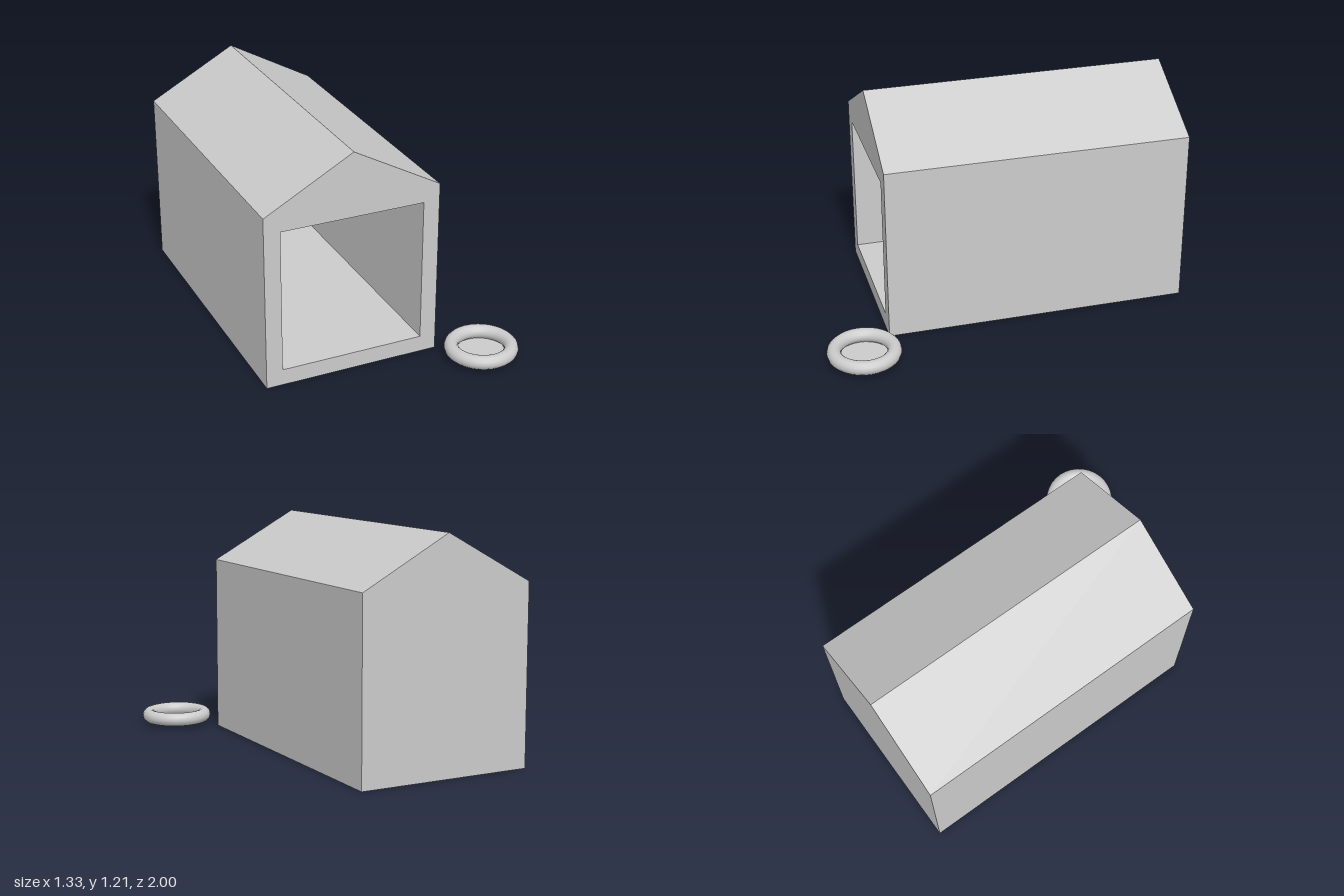
import * as THREE from 'three';

export function createModel() {
  const model = new THREE.Group();
  const material = new THREE.MeshStandardMaterial({ color: 0xcccccc });
  const thin = new THREE.MeshStandardMaterial({ color: 0xcccccc, side: THREE.DoubleSide });

  const add = (name, geometry, parent, mat = material) => {
    const mesh = new THREE.Mesh(geometry, mat);
    mesh.name = name;
    parent.add(mesh);
    return mesh;
  };

  // Kennel: gabled block with a square room opening at the front
  const halfWidth = 0.475, eaves = 0.95, ridge = 1.21;
  const back = -1, front = 0.636, wall = 0.088;
  const roomHalf = halfWidth - wall, roomTop = 0.862;

  const kennel = new THREE.Group();
  kennel.name = 'kennel';
  kennel.position.x = -0.19;
  model.add(kennel);

  const gable = new THREE.Shape([
    [-halfWidth, 0], [halfWidth, 0], [halfWidth, eaves], [0, ridge], [-halfWidth, eaves],
  ].map(([x, y]) => new THREE.Vector2(x, y)));
  gable.holes.push(new THREE.Path([
    [-roomHalf, wall], [-roomHalf, roomTop], [roomHalf, roomTop], [roomHalf, wall],
  ].map(([x, y]) => new THREE.Vector2(x, y))));
  const shell = new THREE.ExtrudeGeometry(gable, { depth: front - back, bevelEnabled: false });
  add('kennelShell', shell, kennel).position.z = back;

  // Rear wall closing the room
  const rear = new THREE.BoxGeometry(roomHalf * 2, roomTop - wall, wall);
  add('rearWall', rear, kennel).position.set(0, (roomTop + wall) / 2, back + wall / 2);

  // Feeding bowl: rounded rim with a flat bottom
  const bowl = new THREE.Group();
  bowl.name = 'bowl';
  bowl.position.set(0.467, 0.052, 0.805);
  model.add(bowl);

  const rimRadius = 0.156, tube = 0.0375;
  add('bowlRim', new THREE.TorusGeometry(rimRadius, tube, 12, 32).rotateX(Math.PI / 2), bowl);
  add('bowlBottom', new THREE.CircleGeometry(rimRadius, 32).rotateX(-Math.PI / 2), bowl, thin)
    .position.y = -tube + 0.001;

  return model;
}
